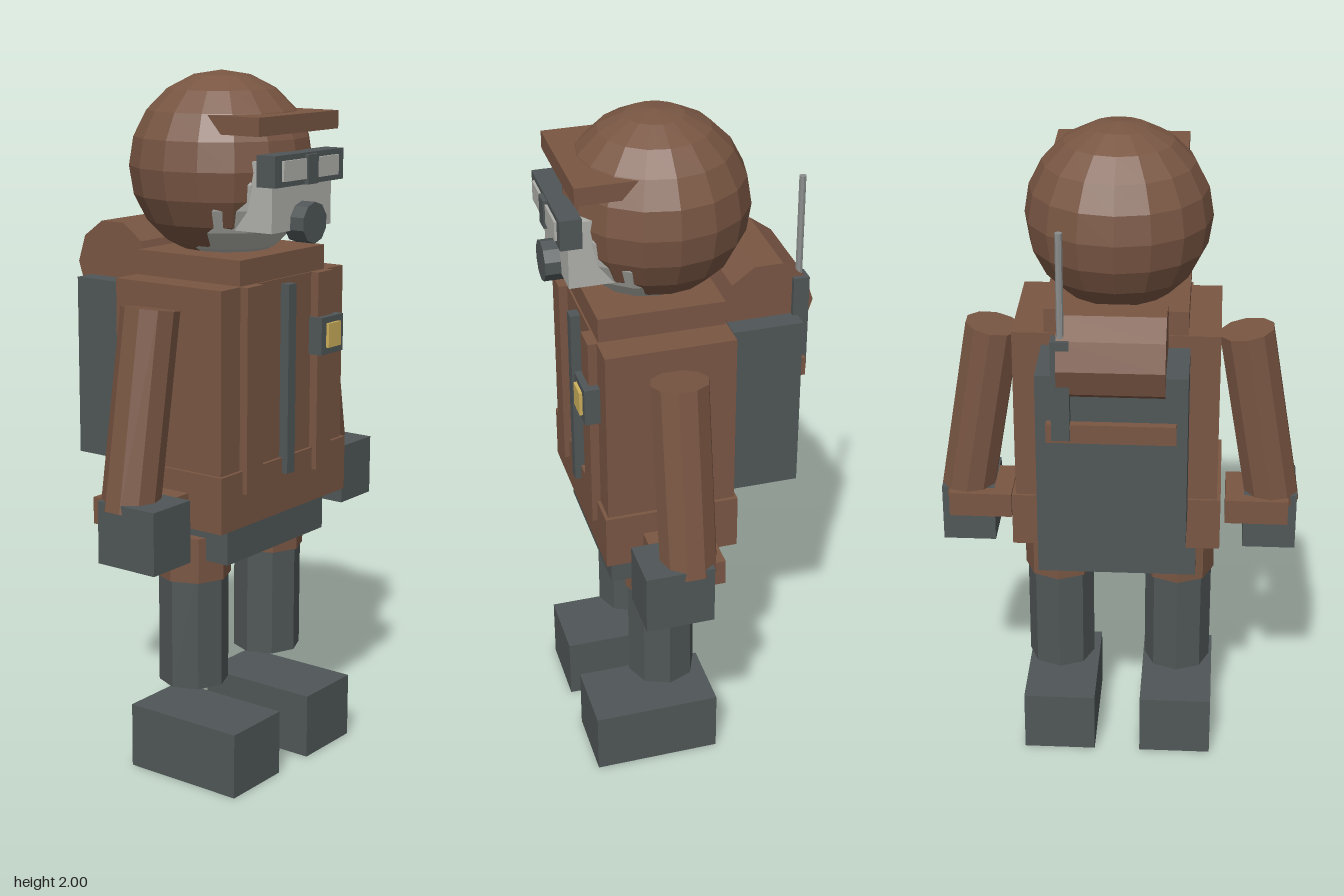
import * as THREE from 'three';

const material = (name, color) => {
  const m = new THREE.MeshStandardMaterial({ color, flatShading: true });
  m.name = name;
  return m;
};

export function createModel() {
  const brown = material('brown cloth', 0x795643);
  const dark = material('dark grey', 0x505657);
  const light = material('light grey', 0xb0b0ab);
  const steel = material('steel', 0x8a8d8b);
  const yellow = material('yellow', 0xcdb05c);

  const model = new THREE.Group();
  model.name = 'explorer';

  const add = (name, geometry, mat, x, y, z) => {
    const mesh = new THREE.Mesh(geometry, mat);
    mesh.name = name;
    mesh.position.set(x, y, z);
    model.add(mesh);
    return mesh;
  };
  // Box given by its extents on each axis
  const box = (name, mat, [x0, x1], [y0, y1], [z0, z1]) =>
    add(name, new THREE.BoxGeometry(x1 - x0, y1 - y0, z1 - z0), mat,
      (x0 + x1) / 2, (y0 + y1) / 2, (z0 + z1) / 2);
  const cylinder = (name, mat, r, h, sides, x, y, z) =>
    add(name, new THREE.CylinderGeometry(r, r, h, sides), mat, x, y, z);
  const span = (s, a, b) => (s > 0 ? [a, b] : [-b, -a]);

  // Head, face and visor
  add('hood', new THREE.SphereGeometry(0.26, 16, 10), brown, 0, 1.74, 0.045);
  add('face', new THREE.SphereGeometry(0.23, 14, 10), light, 0, 1.706, 0.073);
  box('brim', brown, [-0.187, 0.187], [1.84, 1.89], [0.08, 0.31]);
  box('mask', light, [-0.14, 0.14], [1.58, 1.77], [0.15, 0.32]);
  box('goggles', dark, [-0.162, 0.162], [1.705, 1.79], [0.285, 0.345]);
  box('goggleBridge', dark, [-0.024, 0.024], [1.705, 1.785], [0.33, 0.357]);
  const filter = cylinder('breathingFilter', dark, 0.057, 0.062, 10, 0, 1.6, 0.333);
  filter.rotation.x = Math.PI / 2;

  // Jacket
  box('collar', brown, [-0.2, 0.2], [1.42, 1.51], [-0.095, 0.26]);
  box('jacket', brown, [-0.29, 0.29], [0.8, 1.44], [-0.1, 0.265]);
  box('jacketHem', brown, [-0.301, 0.301], [0.77, 0.93], [-0.108, 0.275]);
  box('zip', dark, [-0.018, 0.018], [0.885, 1.425], [0.25, 0.293]);
  box('badgeBase', dark, [0.122, 0.23], [1.205, 1.313], [0.26, 0.309]);
  box('badgePlate', yellow, [0.145, 0.207], [1.225, 1.295], [0.309, 0.318]);
  box('hips', dark, [-0.232, 0.232], [0.66, 0.79], [-0.078, 0.245]);

  // Paired parts
  for (const s of [1, -1]) {
    const side = s > 0 ? 'left' : 'right';
    box(side + 'Lens', light, span(s, 0.024, 0.13), [1.72, 1.775], [0.343, 0.352]);
    box(side + 'JacketStrap', brown, span(s, 0.13, 0.205), [0.865, 1.44], [0.25, 0.29]);

    const arm = cylinder(side + 'Arm', brown, 0.081, 0.553, 10, s * 0.409, 1.112, 0.082);
    arm.rotation.z = s * 0.167;
    box(side + 'Cuff', brown, span(s, 0.315, 0.5), [0.8, 0.875], [-0.01, 0.172]);
    box(side + 'Glove', dark, span(s, 0.37, 0.526), [0.7, 0.876], [0.028, 0.222]);

    cylinder(side + 'ThighCuff', brown, 0.107, 0.13, 8, s * 0.179, 0.66, 0.084);
    cylinder(side + 'Leg', dark, 0.1, 0.373, 8, s * 0.179, 0.463, 0.084);
    box(side + 'Boot', dark, span(s, 0.07, 0.288), [0, 0.19], [-0.06, 0.312]);
  }

  // Backpack with bedroll and radio
  box('backpackMount', brown, [-0.14, 0.14], [1.12, 1.47], [-0.15, -0.09]);
  box('backpack', dark, [-0.206, 0.206], [0.895, 1.412], [-0.317, -0.117]);
  box('backpackStrap', brown, [-0.176, 0.176], [1.225, 1.28], [-0.341, -0.31]);
  const roll = cylinder('bedroll', brown, 0.13, 0.29, 10, 0, 1.447, -0.235);
  roll.rotation.z = Math.PI / 2;
  box('radio', dark, [0.11, 0.16], [1.235, 1.525], [-0.348, -0.303]);
  cylinder('antenna', steel, 0.01, 0.32, 8, 0.134, 1.66, -0.325);

  return model;
}
